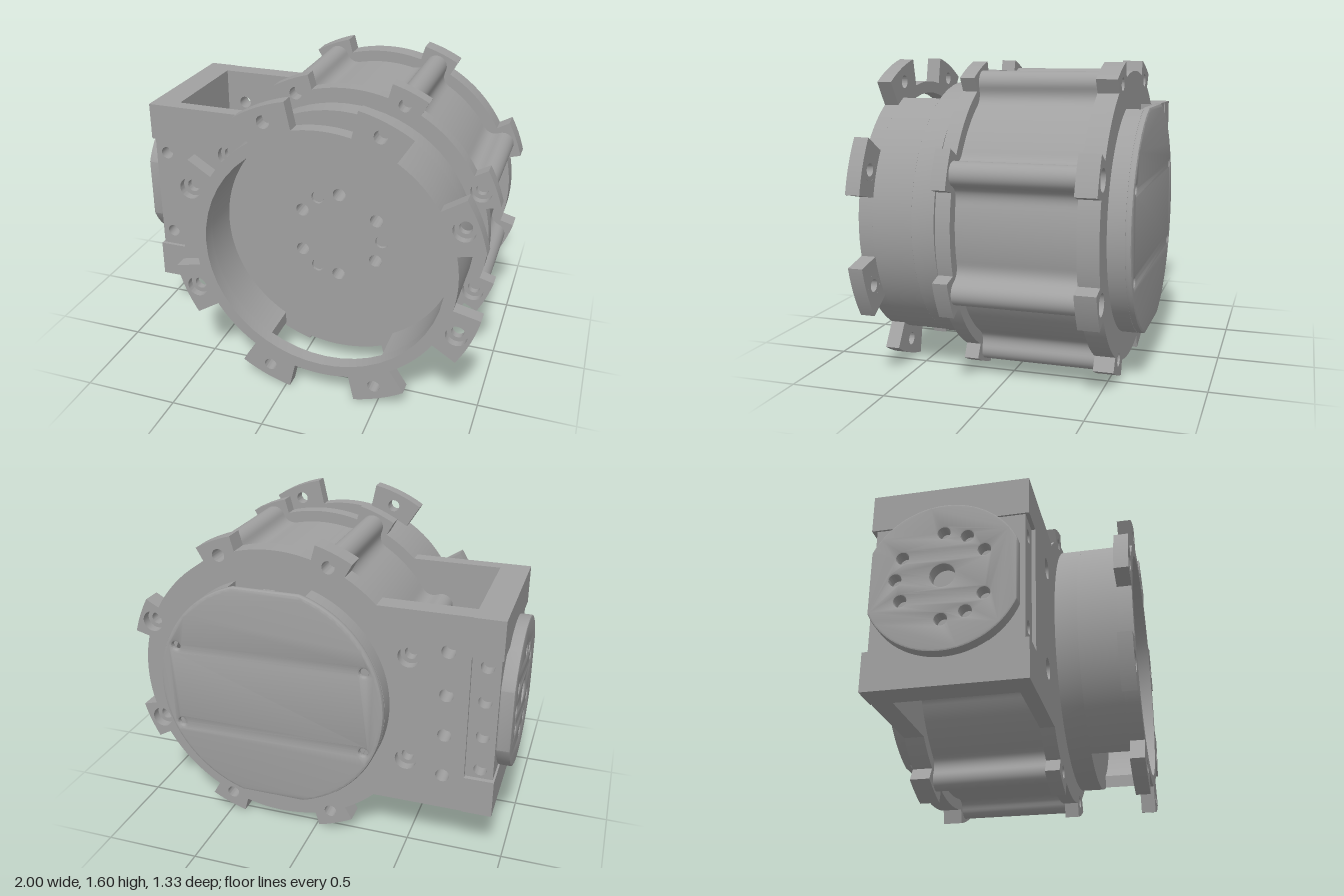
import * as THREE from 'three';
import { toCreasedNormals } from 'three/addons/utils/BufferGeometryUtils.js';

const RAD = Math.PI / 180, TURN = Math.PI * 2;
const TABS = [0, 1, 2, 3, 4, 5, 6, 7].map((k) => (22.5 + 45 * k) * RAD);
const HOLE_R = 0.745; // pitch radius of the tab holes
const SCREWS = [0, 30, 90, 120, 150, 210, 240, 270, 330].map((d) => d * RAD);

const polar = (r, a) => [r * Math.cos(a), r * Math.sin(a)];
const isSideTab = (a) => Math.abs(Math.cos(a)) > 0.8;

function addHole(shape, x, y, r) {
  shape.holes.push(new THREE.Path().absarc(x, y, r, 0, TURN, true));
}

function addTabHoles(shape) {
  for (const a of TABS) addHole(shape, ...polar(HOLE_R, a), isSideTab(a) ? 0.055 : 0.033);
}

function disc(r) {
  return new THREE.Shape().absarc(0, 0, r, 0, TURN);
}

// Circle with two opposite flats; tilt turns the flats from y to x
function clippedDisc(r, flat, tilt = 0) {
  const a = Math.asin(flat / r), s = new THREE.Shape();
  for (const c of [tilt, tilt + Math.PI]) s.absarc(0, 0, r, c - a, c + a);
  s.closePath();
  return s;
}

// Half of a ring wall, cut off straight at |x| = cut; side is +1 or -1
function halfWall(outer, inner, cut, side) {
  const ao = Math.acos(cut / outer), ai = Math.acos(cut / inner);
  const turn = side > 0 ? 0 : Math.PI, s = new THREE.Shape();
  s.absarc(0, 0, outer, turn - ao, turn + ao);
  s.absarc(0, 0, inner, turn + ai, turn - ai, true);
  s.closePath();
  return s;
}

function extrude(shape, z0, z1, segments = 16, bevel = 0) {
  const g = new THREE.ExtrudeGeometry(shape, {
    depth: z1 - z0 - 2 * bevel, curveSegments: segments, bevelEnabled: bevel > 0,
    bevelSize: bevel, bevelThickness: bevel, bevelOffset: -bevel, bevelSegments: 2,
  });
  g.translate(0, 0, z0 + bevel);
  return toCreasedNormals(g, 0.5);
}

export function createModel() {
  const model = new THREE.Group();
  const grey = new THREE.MeshStandardMaterial({ color: 0xa0a0a0 });
  grey.name = 'machined grey';

  const drum = new THREE.Group(); // everything on the main axis
  drum.name = 'driveUnit';
  drum.position.set(0.2, 0.8, 0);
  const bracket = new THREE.Group();
  bracket.name = 'sideBracket';
  model.add(drum, bracket);

  function add(parent, name, geometry) {
    const m = new THREE.Mesh(geometry, grey);
    m.name = name;
    parent.add(m);
    return m;
  }
  function box(parent, name, x0, x1, y0, y1, z0, z1) {
    const g = new THREE.BoxGeometry(x1 - x0, y1 - y0, z1 - z0);
    add(parent, name, g).position.set((x0 + x1) / 2, (y0 + y1) / 2, (z0 + z1) / 2);
  }
  // Stepped seats inside the larger tab holes
  function seats(name, z0, z1) {
    for (const a of TABS.filter(isSideTab)) {
      const s = new THREE.Shape().absarc(...polar(HOLE_R, a), 0.055, 0, TURN);
      addHole(s, ...polar(HOLE_R, a), 0.032);
      add(drum, name, extrude(s, z0, z1, 12));
    }
  }

  // Front flange: ring with eight tabs
  const flange = new THREE.Shape();
  for (const a of TABS) {
    flange.absarc(0, 0, 0.82, a - 10 * RAD, a + 10 * RAD);
    flange.absarc(0, 0, 0.68, a + 10 * RAD, a + 35 * RAD);
  }
  flange.closePath();
  addHole(flange, 0, 0, 0.62);
  addTabHoles(flange);
  add(drum, 'frontFlange', extrude(flange, 0.59, 0.665, 24));
  seats('flangeHoleSeat', 0.59, 0.625);

  // Cup wall with windows above and below, and the cup floor
  for (const side of [1, -1]) add(drum, 'cupWall', extrude(halfWall(0.68, 0.62, 0.305, side), 0.385, 0.59, 32));
  const floor = disc(0.68);
  for (const a of SCREWS) addHole(floor, ...polar(0.23, a), 0.034);
  add(drum, 'cupFloor', extrude(floor, 0.27, 0.385, 32));
  for (const d of [0, 120, 240]) {
    add(drum, 'floorScrew', extrude(new THREE.Shape().absarc(...polar(0.23, d * RAD), 0.032, 0, TURN), 0.29, 0.372, 10));
  }
  add(drum, 'neck', extrude(disc(0.3), 0.235, 0.27, 32));

  // Main housing: cylinder with eight filleted screw ridges
  const body = new THREE.Shape(), R = 0.685, spread = 0.19;
  for (const a of TABS) {
    const at = (u, v) => [v * Math.cos(a) - u * Math.sin(a), v * Math.sin(a) + u * Math.cos(a)];
    body.absarc(0, 0, R, a - 45 * RAD + spread, a - spread);
    body.quadraticCurveTo(...at(-0.06, 0.682), ...at(-0.06, HOLE_R));
    body.absarc(...at(0, HOLE_R), 0.06, a - Math.PI / 2, a + Math.PI / 2);
    body.quadraticCurveTo(...at(0.06, 0.682), ...polar(R, a + spread));
  }
  body.closePath();
  add(drum, 'housing', extrude(body, -0.445, 0.16, 8));

  // End plates: tabbed disc running into the bracket arm
  function endPlate(name, z0, z1, armHoles) {
    const s = new THREE.Shape(), base = 0.745, half = 7 * RAD;
    const join = Math.PI - Math.asin(0.53 / base);
    let from = -join;
    for (const d of [-112.5, -67.5, -22.5, 22.5, 67.5, 112.5]) {
      const a = d * RAD;
      s.absarc(0, 0, base, from, a - half);
      s.absarc(0, 0, 0.822, a - half, a + half);
      from = a + half;
    }
    s.absarc(0, 0, base, from, join);
    s.lineTo(-0.99, 0.53);
    s.lineTo(-0.99, -0.53);
    s.closePath();
    addTabHoles(s);
    for (const y of armHoles) addHole(s, -0.88, y, 0.035);
    add(drum, name, extrude(s, z0, z1, 16));
  }
  endPlate('frontPlate', 0.16, 0.235, []);
  endPlate('backPlate', -0.55, -0.445, [-0.34, -0.11, 0.11, 0.34]);
  seats('frontPlateHoleSeat', 0.16, 0.195);
  seats('backPlateHoleSeat', -0.5, -0.445);

  // Back cap: walls with windows above and below, chamfered lid, inner latch
  for (const side of [1, -1]) {
    add(drum, 'capWall', extrude(halfWall(0.6, 0.55, 0.2, side), -0.635, -0.55, 32));
  }
  const lid = clippedDisc(0.6, 0.575);
  for (const x of [-0.5, 0.5]) for (const y of [-0.22, 0.22]) addHole(lid, x, y, 0.022);
  add(drum, 'capLid', extrude(lid, -0.665, -0.625, 32, 0.015));
  add(drum, 'backBoss', extrude(disc(0.22), -0.56, -0.55, 24));
  for (const s of [-1, 1]) {
    const y0 = s * 0.53 - 0.02, y1 = y0 + 0.04;
    box(drum, 'latchBar', -0.16, -0.02, y0, y1, -0.64, -0.61);
    box(drum, 'latchHook', -0.04, -0.02, y0, y1, -0.64, -0.58);
    box(drum, 'latchArm', 0.02, 0.15, y0, y1, -0.64, -0.6);
    box(drum, 'latchPin', -0.02, 0.04, y0, y1, -0.59, -0.57);
  }

  // Bracket end: full-depth corners around a slightly recessed middle
  for (const [y0, y1] of [[0.27, 0.47], [1.13, 1.33]]) {
    box(bracket, 'endCorner', -0.94, -0.79, y0, y1, -0.555, 0.235);
  }
  box(bracket, 'endCore', -0.93, -0.79, 0.47, 1.13, -0.46, 0.14);
  function endFace(name, z0, z1, holeYs) {
    const s = new THREE.Shape();
    s.moveTo(-0.93, 0.47);
    s.lineTo(-0.79, 0.47);
    s.lineTo(-0.79, 1.13);
    s.lineTo(-0.93, 1.13);
    s.closePath();
    for (const y of holeYs) addHole(s, -0.865, 0.8 + y, 0.034);
    add(bracket, name, extrude(s, z0, z1, 12));
  }
  endFace('frontEndFace', 0.14, 0.215, [-0.245, 0.245]);
  endFace('backEndFace', -0.53, -0.46, [-0.28, -0.095, 0.095, 0.28]);

  // Output horn on the bracket end
  const horn = clippedDisc(0.39, 0.355, Math.PI / 2);
  addHole(horn, 0, 0, 0.06);
  for (const a of SCREWS) addHole(horn, ...polar(0.23, Math.PI - a), 0.03);
  const hornMesh = add(bracket, 'outputHorn', extrude(horn, 0, 0.07, 32, 0.008));
  hornMesh.rotation.y = -Math.PI / 2;
  hornMesh.position.set(-0.93, 0.8, -0.165);

  return model;
}
